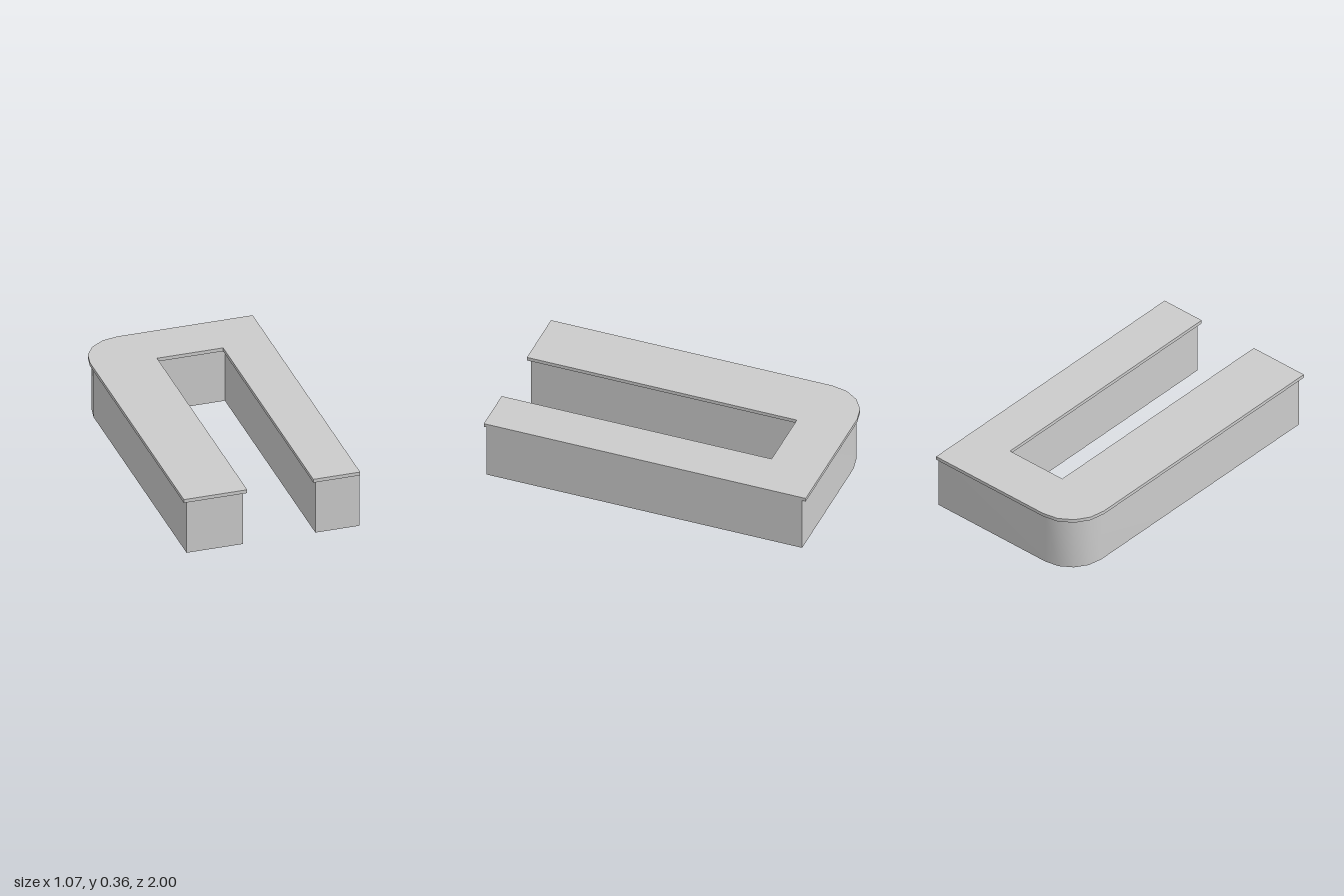
import * as THREE from 'three';
import { toCreasedNormals } from 'three/addons/utils/BufferGeometryUtils.js';

// U-shaped slab, open to the front, with one rounded back corner
function slab({ left, right, back, front, innerLeft, innerRight, innerBack, radius, y, height }) {
  const s = new THREE.Shape(); // drawn with shape y = -z
  s.moveTo(left, -front);
  s.lineTo(innerLeft, -front);
  s.lineTo(innerLeft, -innerBack);
  s.lineTo(innerRight, -innerBack);
  s.lineTo(innerRight, -front);
  s.lineTo(right, -front);
  s.lineTo(right, -back);
  s.lineTo(left + radius, -back);
  s.absarc(left + radius, -back - radius, radius, Math.PI / 2, Math.PI, false);
  s.closePath();
  const geo = new THREE.ExtrudeGeometry(s, { depth: height, bevelEnabled: false, curveSegments: 2 });
  geo.rotateX(-Math.PI / 2).translate(0, y, 0);
  return toCreasedNormals(geo, 0.5);
}

export function createModel() {
  const group = new THREE.Group();
  group.name = 'counter';
  const material = new THREE.MeshStandardMaterial({ color: 0xcccccc });
  const add = (name, dims) => {
    const mesh = new THREE.Mesh(slab(dims), material);
    mesh.name = name;
    group.add(mesh);
  };

  // Cabinet body, flush with the top on the straight +x side
  add('counterBase', {
    left: -0.515, right: 0.535, back: -0.978, front: 0.978,
    innerLeft: -0.172, innerRight: 0.268, innerBack: -0.7,
    radius: 0.23, y: 0, height: 0.34,
  });
  // Thin overhanging worktop
  add('countertop', {
    left: -0.537, right: 0.535, back: -1, front: 0.995,
    innerLeft: -0.152, innerRight: 0.25, innerBack: -0.678,
    radius: 0.25, y: 0.34, height: 0.022,
  });
  return group;
}
